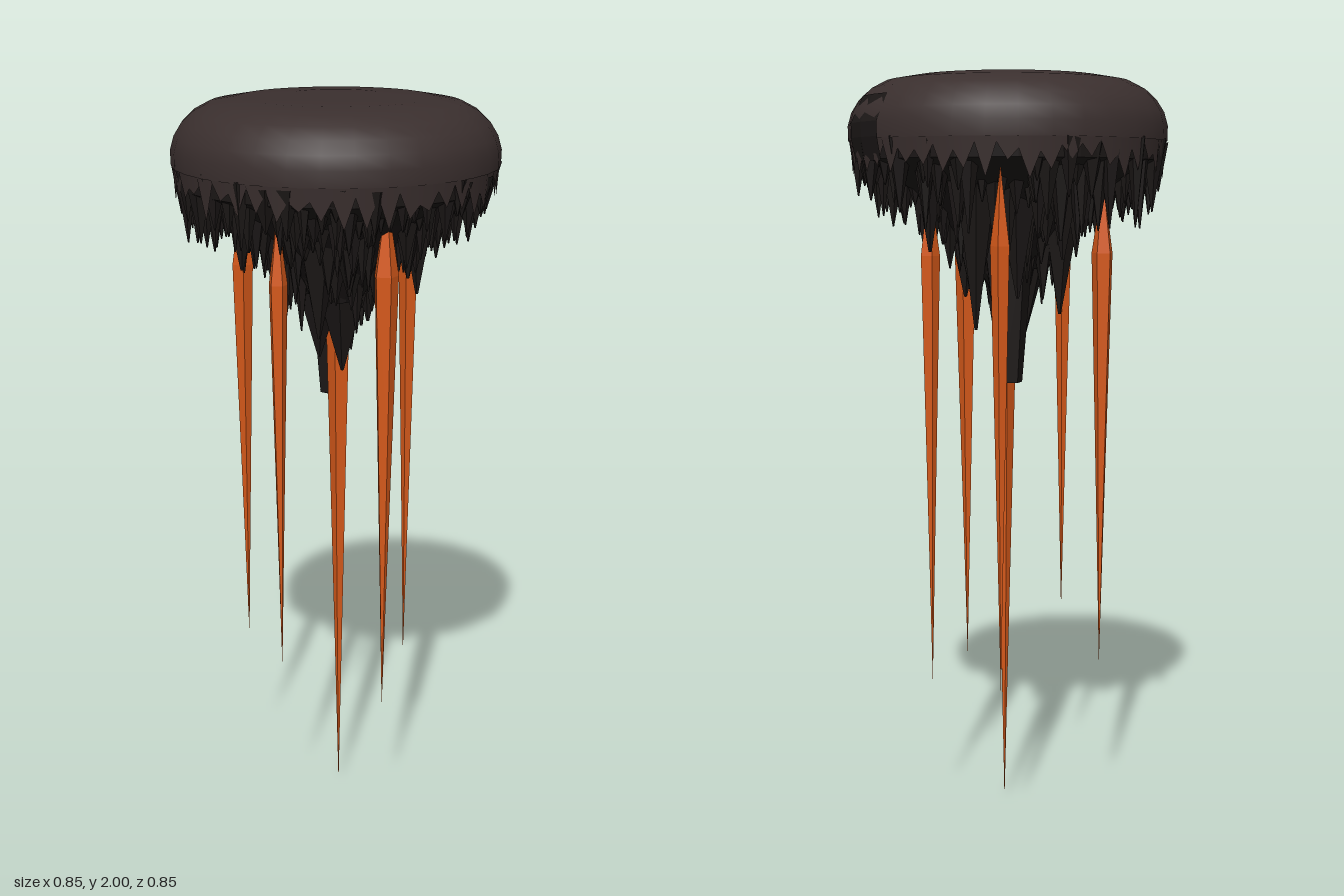
import * as THREE from 'three';
import { mergeGeometries } from 'three/addons/utils/BufferGeometryUtils.js';

// Small seeded generator so the rock is always the same
function seeded(seed) {
  return () => {
    seed = (seed * 16807) % 2147483647;
    return seed / 2147483647;
  };
}

const profile = (pairs) => pairs.map(([r, y]) => new THREE.Vector2(r, y));

function addMesh(group, name, geometry, material) {
  const mesh = new THREE.Mesh(geometry, material);
  mesh.name = name;
  group.add(mesh);
  return mesh;
}

// Outline of the solid rock under the cap, from the centre to the rim: [radius, y]
const CORE = [[0, 1.36], [0.05, 1.44], [0.11, 1.54], [0.18, 1.63], [0.26, 1.70], [0.34, 1.745], [0.405, 1.775], [0.41, 1.84]];

function coreHeight(r) {
  for (let i = 1; i < CORE.length; i++) {
    const [r0, y0] = CORE[i - 1], [r1, y1] = CORE[i];
    if (r <= r1) return y0 + (y1 - y0) * (r - r0) / (r1 - r0);
  }
  return 1.84;
}

// Hanging drips: x, z, tip height, top height, greatest radius
const DRIPS = [
  [0.02, -0.02, 0.0, 1.70, 0.036],
  [0.02, 0.225, 0.36, 1.75, 0.033],
  [0.24, -0.025, 0.37, 1.70, 0.027],
  [-0.23, 0.115, 0.49, 1.71, 0.025],
  [-0.16, -0.235, 0.43, 1.70, 0.029],
  [0.17, -0.305, 0.41, 1.73, 0.026],
];

// One downward spike
function spike(x, z, tipY, height, radius, turn, tipRadius = 0.002) {
  const g = new THREE.CylinderGeometry(radius, tipRadius, height, 5, 1, true);
  g.rotateY(turn);
  g.translate(x, tipY + height / 2, z);
  return g;
}

export function createModel() {
  const group = new THREE.Group();
  group.name = 'floatingRock';
  const rand = seeded(4711);

  const capMat = new THREE.MeshStandardMaterial({ color: 0x3a2f2e, side: THREE.DoubleSide });
  const rockMat = new THREE.MeshStandardMaterial({ color: 0x1c1817, flatShading: true, side: THREE.DoubleSide });
  const dripMat = new THREE.MeshStandardMaterial({ color: 0xd6591a, flatShading: true });

  // Smooth rounded cap
  const capProfile = [[0.424, 1.825], [0.425, 1.865], [0.415, 1.9], [0.395, 1.932], [0.365, 1.96], [0.325, 1.981], [0.25, 1.994], [0.12, 2], [0, 2]];
  addMesh(group, 'cap', new THREE.LatheGeometry(profile(capProfile), 32), capMat);

  // Ragged lower edge of the cap: a band whose bottom row rises and falls
  const edge = new THREE.LatheGeometry(profile([[0.414, 1.76], [0.421, 1.827]]), 96);
  const edgePos = edge.attributes.position;
  for (let i = 0; i < 96; i++) {
    edgePos.setY(i * 2, i % 2 ? 1.72 + 0.06 * rand() : 1.775 + 0.045 * rand());
  }
  edgePos.setY(192, edgePos.getY(0));
  addMesh(group, 'capEdge', edge, capMat);

  // Solid underside
  addMesh(group, 'rockCore', new THREE.LatheGeometry(profile(CORE), 32), rockMat);

  // Jagged spikes spread in a sunflower pattern, longer towards the back
  const spikes = [];
  const count = 280;
  for (let i = 0; i < count; i++) {
    const r = 0.402 * Math.sqrt((i + 0.5) / count);
    const a = i * 2.39996 + rand() * 0.12;
    const x = r * Math.cos(a), z = r * Math.sin(a);
    const drop = (0.03 + 0.11 * rand()) * (1 - 0.7 * z);
    const radius = Math.min(0.025 + 0.017 * rand(), 0.427 - r), turn = rand() * 6;
    // Leave each outer drip free on its outer side
    const blocked = DRIPS.slice(1).some(([dx, dz]) => {
      const d = Math.hypot(dx, dz);
      const along = (x * dx + z * dz) / d, across = Math.abs(x * dz - z * dx) / d;
      return along > d - 0.04 && along < d + 0.09 && across < 0.05;
    });
    if (blocked) continue;
    const top = Math.min(coreHeight(r) + 0.07, 1.81 + 0.03 * rand());
    const tip = coreHeight(r) - drop;
    spikes.push(spike(x, z, tip, top - tip, radius, turn));
  }
  // Larger stalactites near the middle: x, z, tip height, radius, tip radius
  for (const [x, z, tip, radius, tipRadius] of [
    [0.03, -0.075, 1.19, 0.065, 0.034], [0.0, 0.035, 1.28, 0.06, 0.004], [0.17, -0.16, 1.34, 0.055, 0.004],
    [-0.04, -0.02, 1.31, 0.06, 0.004], [-0.10, 0.09, 1.39, 0.055, 0.004], [0.08, 0.10, 1.41, 0.055, 0.004],
    [-0.10, -0.11, 1.37, 0.055, 0.004], [0.11, -0.02, 1.39, 0.055, 0.004], [0.06, -0.18, 1.42, 0.055, 0.004],
    [-0.18, 0.0, 1.51, 0.05, 0.004], [0.19, 0.10, 1.48, 0.05, 0.004], [-0.05, 0.16, 1.51, 0.05, 0.004],
    [-0.04, -0.24, 1.52, 0.05, 0.004], [0.28, -0.12, 1.54, 0.045, 0.004], [0.02, -0.34, 1.57, 0.04, 0.004],
    [-0.25, -0.05, 1.56, 0.045, 0.004], [0.10, 0.20, 1.55, 0.045, 0.004],
  ]) {
    const top = coreHeight(Math.hypot(x, z)) + 0.06;
    spikes.push(spike(x, z, tip, top - tip, radius, rand() * 6, tipRadius));
  }
  // Blunt end of the longest stalactite
  const end = new THREE.CircleGeometry(0.034, 5);
  end.rotateX(Math.PI / 2);
  end.translate(0.03, 1.192, -0.075);
  spikes.push(end);
  addMesh(group, 'rockSpikes', mergeGeometries(spikes), rockMat);

  // Dark bare patch breaking through the cap's left side
  const patch = new THREE.LatheGeometry(
    profile([[0.415, 1.77], [0.427, 1.83], [0.427, 1.868], [0.394, 1.938]]), 2, Math.PI / 2 - 0.14, 0.38);
  addMesh(group, 'barePatch', patch, rockMat);

  // Long tapering drips
  for (const [x, z, tip, top, r] of DRIPS) {
    const h = top - tip;
    const drip = new THREE.LatheGeometry(profile([
      [0, tip], [r * 0.28, tip + h * 0.25], [r * 0.65, tip + h * 0.57], [r, tip + h * 0.87], [0.001, top + 0.02],
    ]), 5, rand() * 6);
    addMesh(group, 'drip', drip, dripMat).position.set(x, 0, z);
  }
  return group;
}
